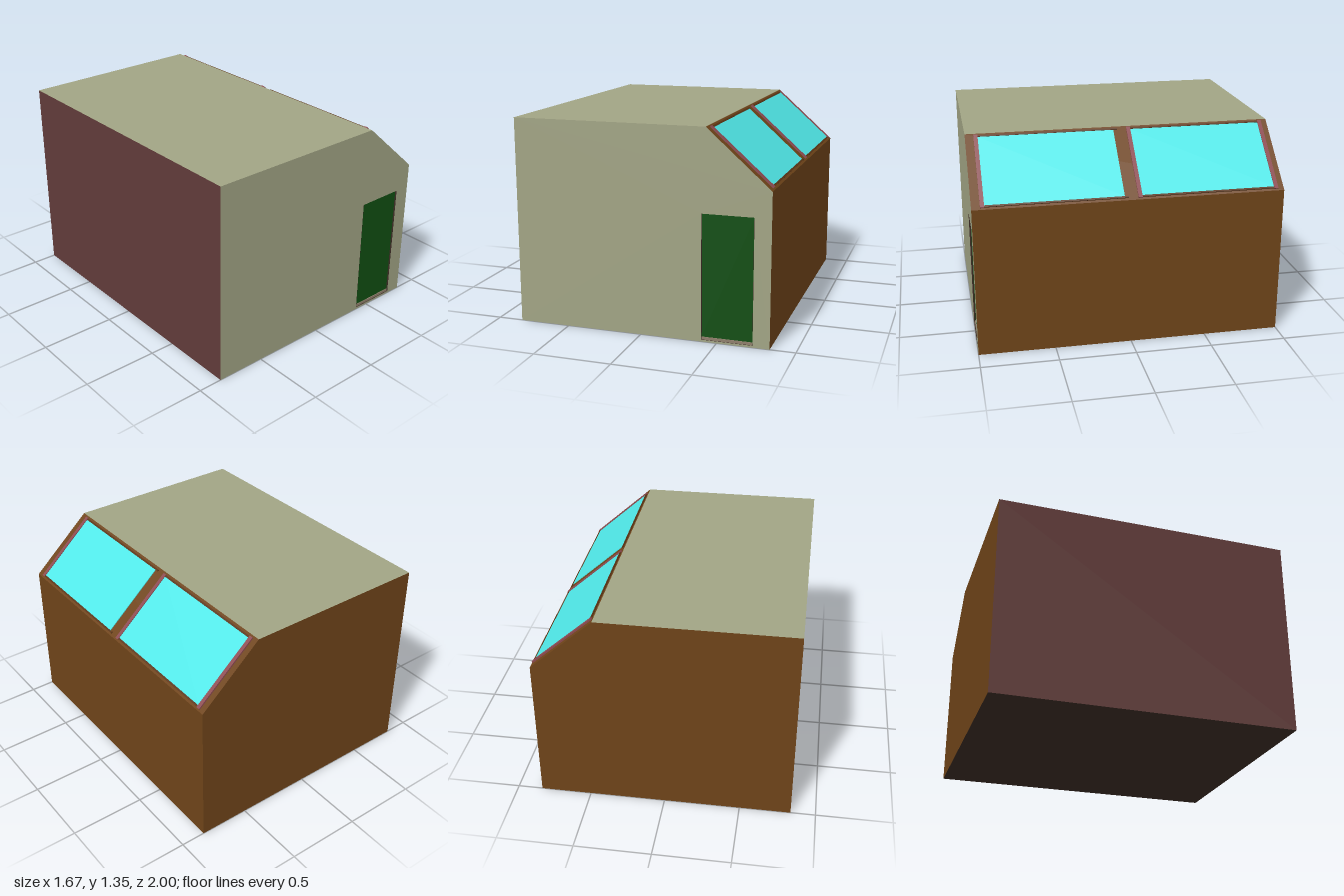
import * as THREE from 'three';

const W = 0.837, D = 1;
const SAGE = 0xa1a484, BROWN = 0x6f4419, MAROON = 0x623c3a, ROSE = 0x8c4a50;
const GLASS = 0x50e8e8, GREEN = 0x104e12, DARK = 0x3b2b24;

const paint = (color) => new THREE.MeshStandardMaterial({ color, side: THREE.DoubleSide });

function add(parent, name, geometry, color, x = 0, y = 0, z = 0) {
  const mesh = new THREE.Mesh(geometry, paint(color));
  mesh.name = name;
  mesh.position.set(x, y, z);
  parent.add(mesh);
  return mesh;
}

const box = (parent, name, color, size, pos) =>
  add(parent, name, new THREE.BoxGeometry(...size), color, ...pos);

export function createModel() {
  const model = new THREE.Group();
  model.name = 'roomWithSkylights';

  // Cross-section of the room, anticlockwise from the front
  const profile = [[W, 0], [W, 0.985], [0.425, 1.35], [-W, 1.35], [-W, 0]];
  const outline = () => new THREE.Shape(profile.map(([x, y]) => new THREE.Vector2(x, y)));

  // End walls, the front one with a door opening
  const door = { x0: 0.4, x1: 0.73, y0: 0.012, y1: 0.82 };
  const front = outline();
  front.holes.push(new THREE.Path([
    [door.x0, door.y0], [door.x0, door.y1], [door.x1, door.y1], [door.x1, door.y0],
  ].map(([x, y]) => new THREE.Vector2(x, y))));
  add(model, 'frontWall', new THREE.ShapeGeometry(front), SAGE, 0, 0, D);
  const back = add(model, 'backWall', new THREE.ShapeGeometry(outline()), BROWN, 0, 0, -D);
  back.geometry.rotateY(Math.PI);
  back.geometry.scale(-1, 1, 1);
  back.geometry.index.array.reverse();

  // One panel along each edge of the cross-section
  const panels = [['rightWall', BROWN], ['slopedRoof', BROWN], ['flatRoof', SAGE],
    ['leftWall', MAROON], ['floor', DARK]];
  let slope, slopeLength;
  panels.forEach(([name, color], i) => {
    const [ax, ay] = profile[i], [bx, by] = profile[(i + 1) % profile.length];
    const length = Math.hypot(bx - ax, by - ay);
    const side = new THREE.Group();
    side.name = name + 'Side';
    side.position.set((ax + bx) / 2, (ay + by) / 2, 0);
    side.rotation.z = Math.atan2(by - ay, bx - ax);
    model.add(side);
    const panel = new THREE.PlaneGeometry(length, 2 * D).rotateX(Math.PI / 2);
    add(side, name, panel, color);
    if (name === 'slopedRoof') { slope = side; slopeLength = length; }
  });

  // Two skylights on the slope: local x runs uphill, -y points outward
  const paneLength = slopeLength - 0.055;
  for (const [name, z0, z1] of [['frontSkylight', 0.045, 0.92], ['backSkylight', -0.935, -0.067]]) {
    const mid = (z0 + z1) / 2, width = z1 - z0;
    const skylight = new THREE.Group();
    skylight.name = name;
    slope.add(skylight);
    box(skylight, 'pane', GLASS, [paneLength, 0.005, width], [0, -0.0025, mid]);
    for (const s of [-1, 1]) {
      box(skylight, 'crossRail', 0x5a3414, [0.012, 0.007, width + 0.05],
        [s * (paneLength / 2 + 0.006), -0.0035, mid]);
    }
    // Raised side rails
    const rails = name === 'frontSkylight' ? [[z1, 1]] : [[z0, -1], [z1, 1]];
    for (const [z, s] of rails) {
      box(skylight, 'sideRail', ROSE, [slopeLength - 0.025, 0.01, 0.026], [0, -0.005, z + s * 0.013]);
    }
  }

  // Door set slightly back in its opening, with jambs and a threshold
  const dw = door.x1 - door.x0, cx = (door.x0 + door.x1) / 2;
  const entrance = new THREE.Group();
  entrance.name = 'entrance';
  model.add(entrance);
  box(entrance, 'door', GREEN, [dw, door.y1 - 0.03, 0.02], [cx, (door.y1 + 0.03) / 2, D - 0.02]);
  box(entrance, 'threshold', 0x8f7f6c, [dw, 0.018, 0.015], [cx, 0.021, D - 0.0125]);
  for (const x of [door.x0 - 0.001, door.x1 + 0.001]) {
    box(entrance, 'doorJamb', DARK, [0.006, door.y1 - door.y0, 0.02], [x, (door.y0 + door.y1) / 2, D - 0.0105]);
  }
  return model;
}
